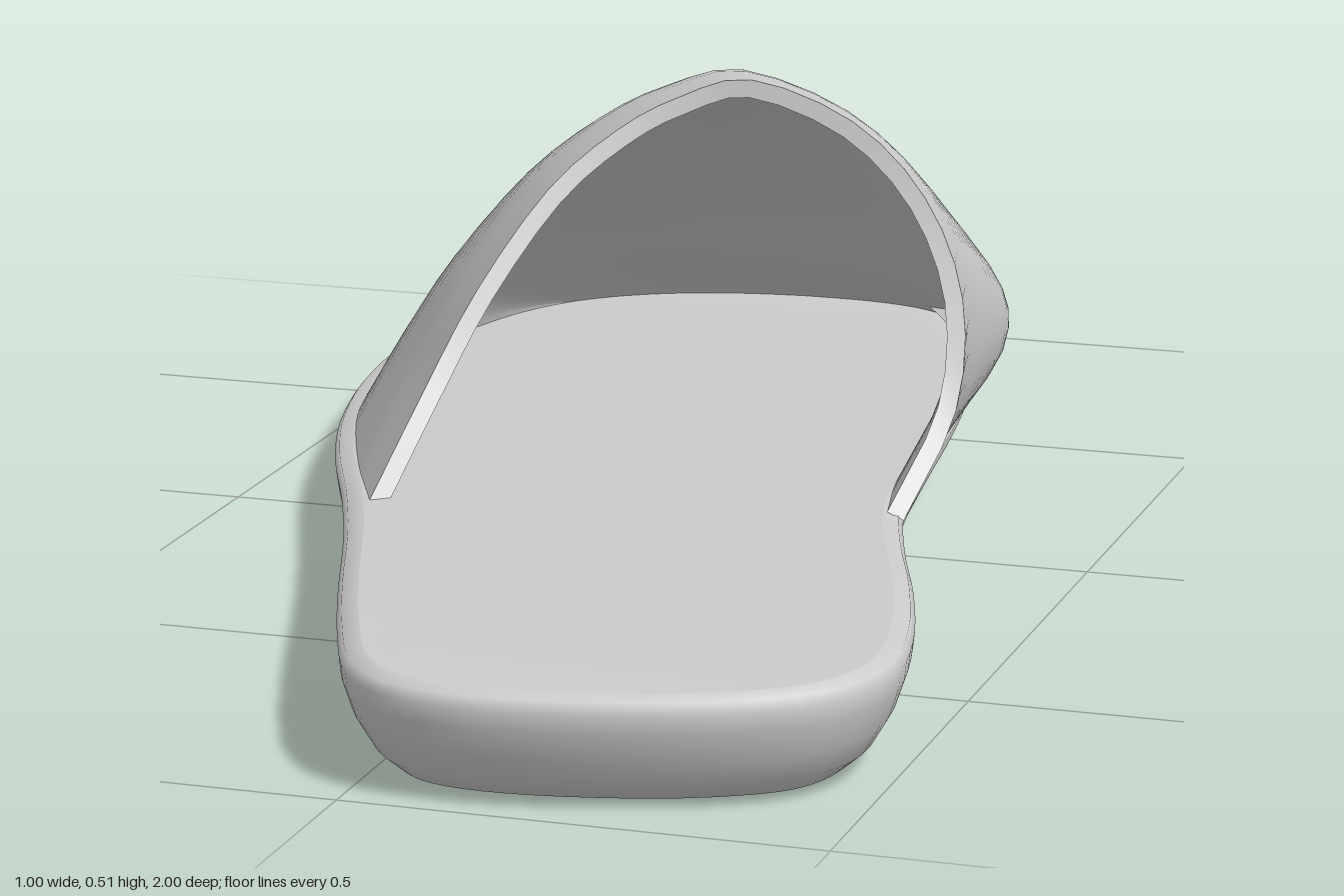
import * as THREE from 'three';

const V = (x, y, z) => new THREE.Vector3(x, y, z);
const spline = (pts, closed = false) =>
  new THREE.CatmullRomCurve3(pts.map(p => V(...p)), closed, 'catmullrom', 0.5);

// Height of the footbed: low at the toe, raised at the heel
const footbed = z => 0.047 + 0.075 * THREE.MathUtils.smoothstep(z, -0.85, 0.85);

// Smooth skin over rows of points; repeated rows make a crease
function skin(rows, closed) {
  const n = rows[0].length, index = [];
  for (let r = 0; r < rows.length - 1; r++) {
    for (let c = 0; c < (closed ? n : n - 1); c++) {
      const d = (c + 1) % n;
      const a = r * n + c, b = a + n, e = r * n + d, f = e + n;
      index.push(a, b, e, b, f, e);
    }
  }
  const geo = new THREE.BufferGeometry().setFromPoints(rows.flat());
  geo.setIndex(index);
  geo.computeVertexNormals();
  return geo;
}

// Sole: outline clockwise from the toe, as [x, z]
function soleGeometry() {
  const outline = spline([
    [-0.10, -1.0], [0.02, -0.98], [0.10, -0.90], [0.17, -0.74], [0.215, -0.56], [0.25, -0.36],
    [0.285, -0.12], [0.32, 0.10], [0.37, 0.28], [0.43, 0.46], [0.48, 0.64], [0.497, 0.78],
    [0.46, 0.88], [0.37, 0.945], [0.25, 0.985], [0.13, 1.0], [0.04, 0.98], [-0.02, 0.92],
    [-0.07, 0.81], [-0.13, 0.65], [-0.20, 0.45], [-0.27, 0.27], [-0.35, 0.08], [-0.42, -0.12],
    [-0.475, -0.34], [-0.50, -0.54], [-0.48, -0.70], [-0.43, -0.82], [-0.34, -0.91], [-0.22, -0.975],
  ].map(([x, z]) => [x, 0, z]), true);

  const N = 120;
  const ring = (inset, height) => Array.from({ length: N }, (_, i) => {
    const p = outline.getPoint(i / N), t = outline.getTangent(i / N);
    p.x -= t.z * inset;
    p.z += t.x * inset;
    p.y = height * footbed(p.z);
    return p;
  });
  const shrink = (row, k, top) => row.map(p => V(p.x * k, top ? footbed(p.z * k) : 0, p.z * k));

  const bottom = ring(0.075, 0), rim = ring(0.022, 1);
  const wall = [[0.075, 0], [0.052, 0.05], [0.03, 0.2], [0.012, 0.45], [0.002, 0.7],
    [0, 0.86], [0.005, 0.96], [0.022, 1]].map(([d, h]) => ring(d, h));
  const top = [1, 0.85, 0.7, 0.55, 0.4, 0.25, 0.1, 0].map(k => shrink(rim, k, true));
  return skin([shrink(bottom, 0, false), bottom, ...wall, ...top], true);
}

// Upper: the arch of the opening is carried along the sole edges to the toe
function upperGeometry() {
  const arch = spline([
    [-0.22, 0.10, 0.33], [-0.20, 0.20, 0.20], [-0.165, 0.30, 0.12], [-0.11, 0.40, 0.04],
    [-0.05, 0.46, -0.02], [0.01, 0.495, -0.06], [0.085, 0.515, -0.09], [0.20, 0.475, -0.10],
    [0.295, 0.405, -0.06], [0.355, 0.31, 0], [0.365, 0.20, 0.06], [0.335, 0.10, 0.16],
  ]);
  // Right-foot edge [x, arch height, z]
  const edgeA = spline([
    [-0.22, 0.415, 0.33], [-0.305, 0.405, 0.14], [-0.40, 0.345, -0.11], [-0.455, 0.26, -0.33],
    [-0.48, 0.19, -0.53], [-0.455, 0.11, -0.72], [-0.39, 0.06, -0.85], [-0.28, 0.028, -0.935],
    [-0.10, 0, -0.985],
  ]);
  // Opposite edge [x, amount of backward lean, z]
  const edgeB = spline([
    [0.335, 1, 0.16], [0.30, 0.92, 0], [0.27, 0.82, -0.20], [0.235, 0.7, -0.42],
    [0.195, 0.5, -0.60], [0.15, 0.3, -0.76], [0.10, 0.15, -0.87], [0.03, 0.05, -0.955],
    [-0.10, 0, -0.985],
  ]);
  const point = (s, u) => {
    const o = arch.getPoint(u), A = edgeA.getPoint(s), B = edgeB.getPoint(s);
    const a = (o.x + 0.22) / 0.555;
    const lean = o.z - THREE.MathUtils.lerp(0.33, 0.16, a);
    const zBase = THREE.MathUtils.lerp(A.z, B.z, a);
    return V(
      THREE.MathUtils.lerp(A.x, B.x, a),
      footbed(zBase) - 0.008 + (o.y - 0.10) / 0.415 * A.y,
      zBase + lean * B.y);
  };
  const inner = (s, u) => {
    const e = 0.004, lo = v => Math.max(0, v - e), hi = v => Math.min(1, v + e);
    const ds = point(lo(s), u).sub(point(hi(s), u));
    const du = point(s, hi(u)).sub(point(s, lo(u)));
    return point(s, u).addScaledVector(ds.cross(du).normalize(), -0.02);
  };
  const S = 40, U = 33;
  const row = (fn, i) => Array.from({ length: U + 1 }, (_, c) => fn(i / S, c / U));
  const outside = [], inside = [];
  for (let i = S; i >= 0; i--) outside.push(row(point, i));
  for (let i = 0; i <= S; i++) inside.push(row(inner, i));
  // Repeated rows keep the rim of the opening crisp
  return skin([...outside, outside[S], inside[0], ...inside], false);
}

export function createModel() {
  const group = new THREE.Group();
  group.name = 'slipper';
  const material = new THREE.MeshStandardMaterial({ color: 0xcccccc, side: THREE.DoubleSide });
  for (const [name, geo] of [['sole', soleGeometry()], ['upper', upperGeometry()]]) {
    const mesh = new THREE.Mesh(geo, material);
    mesh.name = name;
    group.add(mesh);
  }
  return group;
}
